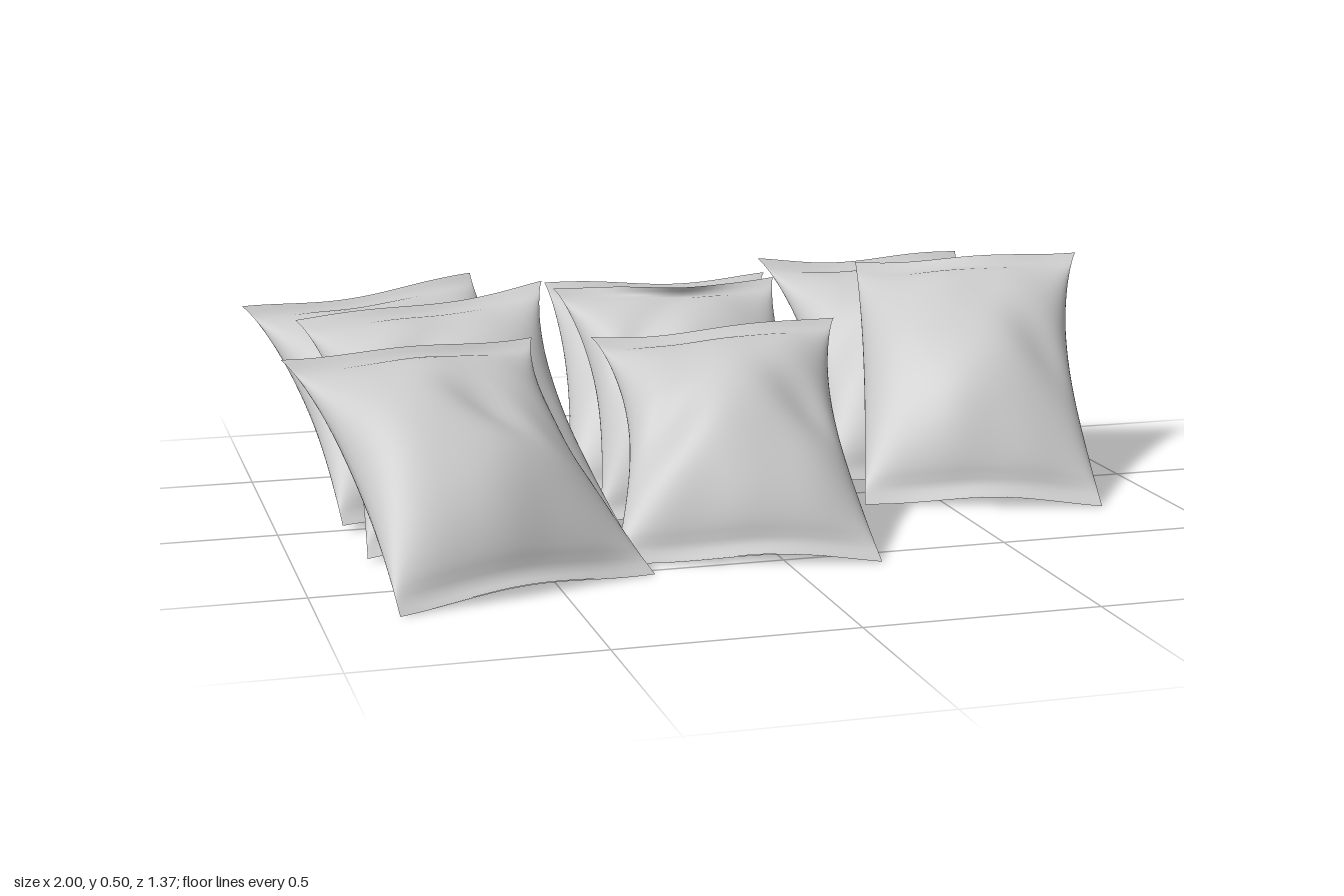
import * as THREE from 'three';

const material = new THREE.MeshStandardMaterial({ color: 0xcccccc, side: THREE.DoubleSide });
const COLS = 40, ROWS = 48, CRIMP = 0.055, BULGE = 0.13, FLOOR = 0.015;

// top: middle of the top seam; foot: x and z of the middle of the bottom seam.
// slant: z change along the top and bottom seams; rise: y change along the top seam.
// pinch: how far the two sides are drawn in; dents: across -1..1, down 0..1.
const BAGS = {
  leftFrontBag: { top: [-0.705, 0.42, 0.035], foot: [-0.565, 0.61], slant: [-0.1, -0.15], width: 0.575,
    pinch: [0.04, 0.06], dents: [[0.3, 0.42], [0.85, 0.5]] },
  leftMiddleBag: { top: [-0.625, 0.46, -0.29], foot: [-0.56, 0.245], slant: [0, -0.05], width: 0.57,
    pinch: [0.05, 0.05], dents: [[-0.4, 0.4], [0.8, 0.55]], rise: 0.06 },
  leftBackBag: { top: [-0.718, 0.43, -0.63], foot: [-0.58, -0.055], slant: [-0.1, -0.13], width: 0.575,
    pinch: [0.05, 0.02], dents: [[0.7, 0.4], [-0.7, 0.55]], rise: 0.04 },
  centreFrontBag: { top: [0, 0.415, -0.03], foot: [-0.08, 0.515], slant: [0.06, 0.13], width: 0.56,
    pinch: [0.06, 0.045], dents: [[-0.7, 0.55], [0.75, 0.5]], rise: 0.03 },
  centreMiddleBag: { top: [-0.03, 0.47, -0.34], foot: [-0.03, 0.14], slant: [0, 0.08], width: 0.54,
    pinch: [0.05, 0.035], dents: [[-0.1, 0.1], [-0.6, 0.4]], sag: 0.07 },
  centreBackBag: { top: [0.025, 0.425, -0.635], foot: [-0.045, -0.075], slant: [0.02, 0.07], width: 0.56,
    pinch: [0.03, 0.05], dents: [[-0.55, 0.36], [0.7, 0.5]] },
  rightBackBag: { top: [0.577, 0.45, -0.69], foot: [0.57, -0.06], slant: [0.01, 0.04], width: 0.535,
    pinch: [0.06, 0.03], dents: [[-0.8, 0.5]] },
  rightFrontBag: { top: [0.742, 0.495, -0.36], foot: [0.575, 0.2], slant: [0.18, 0.16], width: 0.54,
    pinch: [0.01, 0.045], dents: [[0.8, 0.5]], rise: 0.03 },
};

// The two ends of a seam of given length, around its middle.
function seam(x, y, z, width, slant, rise) {
  const half = new THREE.Vector3(Math.sqrt(width * width - slant * slant), rise, slant).multiplyScalar(0.5);
  const middle = new THREE.Vector3(x, y, z);
  return [middle.clone().sub(half), middle.clone().add(half)];
}

// A soft diagonal crease running from the dent towards the nearer lower corner.
function crease(u, v, [du, dv]) {
  const x = u - du, y = 2 * (v - dv), lean = Math.sign(du);
  const along = (x + lean * y) * 0.7, off = (x - lean * y) * 0.7;
  return 0.032 * Math.exp(-(along ** 2) / 0.16 - off ** 2 / 0.04);
}

// One sheet of a bag; side is +1 for the upper panel, -1 for the lower one.
function panel({ top, foot, slant, width, pinch, dents, rise = 0, sag = 0 }, side, seed) {
  const [tl, tr] = seam(...top, width, slant[0], rise);
  const [bl, br] = seam(foot[0], FLOOR, foot[1], width, slant[1], 0);
  const across = tr.clone().sub(tl).add(br).sub(bl).normalize();
  const down = bl.clone().sub(tl).add(br).sub(tr).normalize();
  const normal = down.clone().cross(across).normalize();
  const pos = [], index = [];

  for (let j = 0; j <= ROWS; j++) {
    const v = j / ROWS;
    const s = THREE.MathUtils.clamp((v - CRIMP) / (1 - 2 * CRIMP), 0, 1);
    const fill = Math.pow(Math.max(0, Math.sin(Math.PI * s)), 0.72);
    const ends = (2 * v - 1) ** 2;
    // sides are drawn in most just above the middle
    const waist = Math.max(0, Math.sin(Math.PI * Math.pow(v, 0.8)));
    const left = tl.clone().lerp(bl, v).addScaledVector(across, pinch[0] * waist);
    const right = tr.clone().lerp(br, v).addScaledVector(across, -pinch[1] * waist);

    for (let i = 0; i <= COLS; i++) {
      const u = Math.sin((i / COLS - 0.5) * Math.PI);
      const p = left.clone().lerp(right, (u + 1) / 2);
      const round = Math.pow(Math.max(0, 1 - u * u), 0.52);
      // creases spreading from the crimped ends, then local dents
      let lift = BULGE + 0.007 * ends * Math.sin(u * 9 + seed * 2) + 0.004 * Math.sin(u * 4 + v * 9 + seed);
      if (side > 0) for (const dent of dents) lift -= crease(u, v, dent);
      p.addScaledVector(normal, side * (lift * fill + 0.0015) * round);
      // wavy, bowed end seams shared by both panels
      p.addScaledVector(normal, 0.009 * Math.sin(u * 3.5 + seed * 1.7) * ends);
      p.addScaledVector(down, 0.012 * (1 - u * u) * (1 - 2 * v));
      p.z += sag * Math.exp(-u * u * 5 - v * 9);
      pos.push(p.x, Math.max(p.y, 0), p.z);
    }
  }
  const w = COLS + 1;
  for (let j = 0; j < ROWS; j++) for (let i = 0; i < COLS; i++) {
    const a = j * w + i, b = a + 1, c = a + w, d = c + 1;
    if (side > 0) index.push(a, c, b, b, c, d);
    else index.push(a, b, c, b, d, c);
  }
  const geometry = new THREE.BufferGeometry();
  geometry.setAttribute('position', new THREE.Float32BufferAttribute(pos, 3));
  geometry.setIndex(index);
  geometry.computeVertexNormals();
  return geometry;
}

export function createModel() {
  const model = new THREE.Group();
  model.name = 'snackBags';
  Object.entries(BAGS).forEach(([name, bag], k) => {
    const group = new THREE.Group();
    group.name = name;
    for (const side of [1, -1]) {
      const mesh = new THREE.Mesh(panel(bag, side, k + 1), material);
      mesh.name = side > 0 ? 'upperPanel' : 'lowerPanel';
      group.add(mesh);
    }
    model.add(group);
  });
  return model;
}
